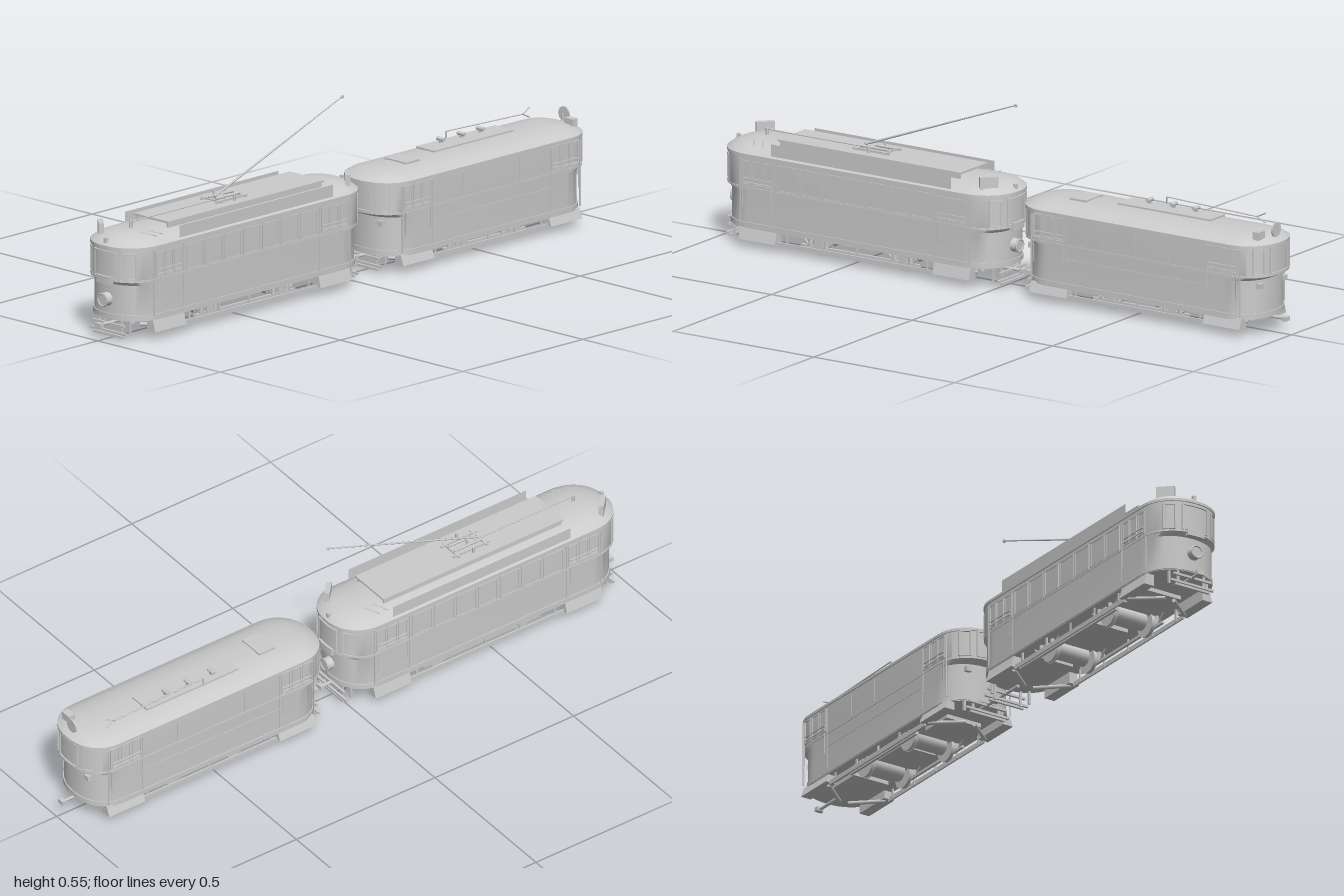
import * as THREE from 'three';
import { toCreasedNormals } from 'three/addons/utils/BufferGeometryUtils.js';

const mat = new THREE.MeshStandardMaterial({ color: 0xcccccc });
const thin = new THREE.MeshStandardMaterial({ color: 0xcccccc, side: THREE.DoubleSide });
const HW = 0.113, POW = 2.2;

function add(parent, name, geo, x = 0, y = 0, z = 0, material = mat) {
  const m = new THREE.Mesh(geo, material);
  m.name = name;
  m.position.set(x, y, z);
  parent.add(m);
  return m;
}
const box = (p, name, w, h, d, x, y, z) => add(p, name, new THREE.BoxGeometry(w, h, d), x, y, z);

function rod(p, name, a, b, r0, r1 = r0) {
  const A = new THREE.Vector3(...a), B = new THREE.Vector3(...b), dir = B.clone().sub(A);
  const m = add(p, name, new THREE.CylinderGeometry(r1, r0, dir.length(), 8));
  m.position.copy(A).add(B).multiplyScalar(0.5);
  m.quaternion.setFromUnitVectors(new THREE.Vector3(0, 1, 0), dir.normalize());
}
const across = (p, name, r, len, x, y, z, n = 24) =>
  add(p, name, new THREE.CylinderGeometry(r, r, len, n).rotateZ(Math.PI / 2), x, y, z);

// Plan outline: straight sides with rounded ends
function outline(hw, hl, d) {
  const pts = [];
  for (let half = 0; half < 2; half++) for (let i = 0; i <= 20; i++) {
    const t = Math.PI * (half + i / 20), c = Math.cos(t), s = Math.sin(t), e = 2 / POW;
    const sg = half ? -1 : 1;
    pts.push([hw * Math.sign(c) * Math.abs(c) ** e, sg * (hl - d + d * Math.abs(s) ** e)]);
  }
  return pts;
}
// Stack of outlines; each level is [y, offset, end setback]
function loft(levels, hl, depth) {
  const pos = [], idx = [];
  for (const [y, o, back = 0] of levels)
    for (const [x, z] of outline(HW + o, hl + o - back, Math.max(depth + o, 0.001))) pos.push(x, y, z);
  const n = pos.length / 3 / levels.length;
  for (let k = 0; k < levels.length - 1; k++) for (let i = 0; i < n; i++) {
    const j = (i + 1) % n, a = k * n + i, b = k * n + j;
    idx.push(a, a + n, b, b, a + n, b + n);
  }
  const g = new THREE.BufferGeometry();
  g.setAttribute('position', new THREE.Float32BufferAttribute(pos, 3));
  g.setIndex(idx);
  return toCreasedNormals(g, 0.6);
}
const band = (y0, y1, o) => [[y0, -0.003], [y0, o], [y1, o], [y1, -0.003]];

// Box bent around the rounded end of a car
function bent(p, name, x, y, w, h, t, hl, depth) {
  const g = new THREE.BoxGeometry(w, h, t, 12, 1, 1).translate(x, y, 0), v = g.attributes.position;
  for (let i = 0; i < v.count; i++) {
    const u = Math.min(Math.abs(v.getX(i) / HW), 1);
    v.setZ(i, v.getZ(i) + hl - depth + depth * (1 - u ** POW) ** (1 / POW));
  }
  g.computeVertexNormals();
  add(p, name, g);
}
function bentFrame(p, x, y, w, h, hl, d) {
  const f = 0.004;
  for (const s of [-1, 1]) {
    bent(p, 'endWindowFrame', x + s * w / 2, y, f, h, 0.009, hl, d);
    bent(p, 'endWindowFrame', x, y + s * h / 2, w, f, 0.009, hl, d);
  }
}
function sideFrame(p, s, y, z, w, h) {
  for (const k of [-1, 1]) {
    box(p, 'windowFrame', 0.005, h, 0.004, s * HW, y, z + k * w / 2);
    box(p, 'windowFrame', 0.005, 0.004, w, s * HW, y + k * h / 2, z);
  }
}

// Shared body, platforms and running gear
function car({ name, hl, depth, eave, top, base, axle, step, setback }) {
  const g = new THREE.Group();
  g.name = name;
  add(g, 'body', loft([[base, 0, setback], [0.168, 0, setback], [0.18, 0], [eave, 0]], hl, depth));
  add(g, 'skirtBand', loft(band(base, base + 0.016, 0.003), hl - setback, depth));
  add(g, 'beltRail', loft(band(0.179, 0.185, 0.002), hl, depth));
  const h = top - eave;
  add(g, 'roof', loft([[eave - 0.004, -0.002], [eave - 0.004, 0.004], [eave + 0.004, 0.004], [eave + 0.2 * h, 0],
    [eave + 0.5 * h, -0.014], [eave + 0.75 * h, -0.035], [eave + 0.92 * h, -0.065], [top, -0.095], [top, -HW]], hl, depth + 0.004));
  const plan = new THREE.Shape(outline(HW, hl - setback, depth).map(([x, z]) => new THREE.Vector2(x, -z)));
  add(g, 'floor', new THREE.ExtrudeGeometry(plan, { depth: 0.004, bevelEnabled: false }).rotateX(-Math.PI / 2), 0, base - 0.002, 0);

  for (const s of [-1, 1]) {
    // Wheelset and motor
    const z = s * axle;
    across(g, 'axle', 0.007, 0.15, 0, 0.04, z, 12);
    across(g, 'motor', 0.027, 0.1, 0, 0.045, z);
    for (const k of [-1, 1]) {
      across(g, 'wheel', 0.036, 0.012, k * 0.066, 0.038, z);
      across(g, 'wheelFlange', 0.038, 0.004, k * 0.061, 0.038, z);
      box(g, 'axleBox', 0.014, 0.022, 0.024, k * 0.082, 0.042, z);
      for (const q of [-1, 1]) {
        rod(g, 'spring', [k * 0.082, 0.032, z + q * 0.028], [k * 0.082, base + 0.001, z + q * 0.028], 0.007);
        rod(g, 'frameBrace', [k * 0.082, 0.035, z + q * 0.035], [k * 0.082, base, z + q * 0.065], 0.003);
      }
    }
    box(g, 'equipmentPlate', 0.12, 0.012, 0.11, 0, base - 0.008, s * (axle + 0.13));
    // Truck side frame and side guard
    box(g, 'truckFrame', 0.008, 0.008, 2 * axle + 0.12, s * 0.082, 0.03, 0);
    box(g, 'sideGuard', 0.005, 0.014, 2 * step - 0.12, s * 0.104, 0.025, 0);
    for (let i = -2; i <= 2; i++) box(g, 'guardHanger', 0.004, base - 0.02, 0.006, s * 0.101, (base + 0.02) / 2, i * step * 0.36);
    for (const e of [-1, 1]) {
      rod(g, 'lifeguardArm', [s * 0.1, 0.024, e * (step - 0.05)], [s * 0.015, 0.022, e * (step + 0.02)], 0.006);
      // Splayed boarding step
      const tread = new THREE.Shape([[0.086, 0.025], [0.12, 0.025], [0.109, base + 0.004], [0.086, base + 0.004]].map(q => new THREE.Vector2(...q)));
      const m = add(g, 'boardingStep', new THREE.ExtrudeGeometry(tread, { depth: 0.13, bevelEnabled: false }), 0, 0, e * step - s * 0.065);
      if (s < 0) m.rotation.y = Math.PI;
      // Platform doors with handrails
      for (const k of [-1, 0, 1]) sideFrame(g, s, 0.227, e * step + k * 0.039, 0.03, 0.07);
      for (const k of [-1, 1]) {
        box(g, 'doorPost', 0.004, eave - base - 0.02, 0.003, s * HW, (eave + base) / 2, e * step + k * 0.062);
        rod(g, 'handrail', [s * 0.1165, 0.12, e * step + k * 0.052], [s * 0.1165, 0.185, e * step + k * 0.052], 0.0014);
      }
      for (const y of [0.198, 0.211]) box(g, 'windowBar', 0.004, 0.003, 0.1, s * 0.115, y, e * step);
    }
  }
  box(g, 'equipmentPlate', 0.12, 0.012, 0.12, 0, base - 0.008, 0);

  // Matching ends: windows and coupler
  const ends = [0, Math.PI].map(r => {
    const e = new THREE.Group();
    e.name = r ? 'rearEnd' : 'frontEnd';
    e.rotation.y = r;
    g.add(e);
    bentFrame(e, 0, 0.227, 0.086, 0.08, hl, depth);
    for (const s of [-1, 1]) bentFrame(e, s * 0.076, 0.227, 0.026, 0.078, hl, depth);
    rod(e, 'coupler', [0, 0.046, hl - 0.08], [0, 0.046, hl + 0.02], 0.005);
    box(e, 'couplerHead', 0.022, 0.013, 0.014, 0, 0.046, hl + 0.02);
    return e;
  });
  return { g, ends };
}

// Low bars hung ahead of the wheels
function lifeguard(e, hl, base) {
  for (const [y, w] of [[0.012, 0.12], [0.022, 0.15], [0.045, 0.13]]) box(e, 'lifeguardBar', w, 0.007, 0.007, 0, y, hl - 0.018);
  for (const s of [-1, 1]) {
    box(e, 'lifeguardHanger', 0.007, base - 0.012, 0.006, s * 0.045, (base + 0.012) / 2, hl - 0.025);
    box(e, 'lifeguardHanger', 0.007, base - 0.02, 0.006, s * 0.066, (base + 0.02) / 2, hl - 0.04);
  }
}

function lamp(p, r, y, z) {
  add(p, 'headlight', new THREE.CylinderGeometry(r * 0.85, r, 0.026, 28).rotateX(Math.PI / 2), 0, y, z);
  add(p, 'headlightRim', new THREE.TorusGeometry(r * 0.88, r * 0.14, 8, 28), 0, y, z + 0.013);
}

function motorCar() {
  const hl = 0.5, base = 0.062;
  const { g, ends } = car({ name: 'motorCar', hl, depth: 0.11, eave: 0.28, top: 0.316, base, axle: 0.15, step: 0.345, setback: 0.013 });
  g.position.z = 0.473;
  for (const e of ends) {
    lifeguard(e, hl, base);
    lamp(e, 0.021, 0.12, hl - 0.006);
    bent(e, 'destinationBox', 0, 0.181, 0.058, 0.024, 0.014, hl, 0.11);
    box(e, 'cornerSign', 0.055, 0.036, 0.016, -0.068, 0.315, hl - 0.055).rotation.y = -0.75;
    box(e, 'roofLamp', 0.01, 0.022, 0.01, 0, 0.293, hl - 0.008);
    for (const k of [0, 1]) rod(e, 'roofGrip', [0.05, 0.313, hl - 0.1 - k * 0.03], [0.09, 0.305, hl - 0.125 - k * 0.03], 0.002);
  }
  for (const s of [-1, 1]) {
    for (let i = 0; i < 7; i++) sideFrame(g, s, 0.226, (i - 3) * 0.079, 0.068, 0.076);
    // Boards along the roof edges
    add(g, 'roofBoard', new THREE.PlaneGeometry(0.64, 0.042), s * 0.111, 0.304, -0.02, thin).rotation.y = -s * Math.PI / 2;
    box(g, 'walkwayRunner', 0.006, 0.02, 0.64, s * 0.062, 0.316, -0.02);
  }
  box(g, 'roofWalkway', 0.14, 0.006, 0.65, 0, 0.327, -0.02);
  // Trolley base and pole
  for (const s of [-1, 1]) {
    box(g, 'trolleyRail', 0.005, 0.008, 0.13, s * 0.03, 0.333, 0);
    rod(g, 'trolleySpring', [s * 0.014, 0.339, -0.05], [s * 0.014, 0.339, 0.05], 0.004);
    box(g, 'trolleyCrossbar', 0.085, 0.005, 0.006, 0, 0.334, s * 0.05);
    rod(g, 'trolleyInsulator', [s * 0.042, 0.33, 0], [s * 0.042, 0.347, 0], 0.004);
  }
  add(g, 'trolleyPivot', new THREE.CylinderGeometry(0.012, 0.016, 0.014, 16), 0, 0.336, 0.02);
  rod(g, 'trolleyPole', [0, 0.342, 0.04], [0, 0.54, -0.49], 0.0035, 0.002);
  across(g, 'trolleyWheel', 0.005, 0.005, 0, 0.54, -0.493, 12);
  rod(g, 'roofCable', [0, 0.333, 0.39], [0, 0.333, 0.02], 0.002);
  rod(g, 'poleHook', [0, 0.312, 0.39], [0, 0.336, 0.39], 0.005);
  return g;
}

function trailer() {
  const hl = 0.435, base = 0.052;
  const { g, ends } = car({ name: 'trailer', hl, depth: 0.1, eave: 0.272, top: 0.302, base, axle: 0.11, step: 0.308, setback: 0.02 });
  g.position.z = -0.525;
  lifeguard(ends[0], hl, base);
  for (const e of ends) for (const s of [-1, 1]) box(e, 'endLamp', 0.018, 0.016, 0.016, s * 0.06, 0.15, hl - 0.03);
  // Plain side panels with seams
  for (const s of [-1, 1]) {
    for (const z of [-0.12, 0, 0.12]) box(g, 'panelSeam', 0.003, 0.07, 0.003, s * HW, 0.225, z);
    box(g, 'panelRail', 0.003, 0.004, 0.5, s * HW, 0.14, 0);
  }
  // Roof plates, insulators and stowed pole
  box(g, 'roofPlate', 0.075, 0.006, 0.33, -0.025, 0.304, -0.03);
  box(g, 'roofHatch', 0.085, 0.008, 0.06, 0, 0.302, 0.255);
  for (const z of [-0.11, -0.03, 0.055]) {
    across(g, 'roofInsulator', 0.006, 0.028, -0.038, 0.318, z, 12);
    box(g, 'insulatorFoot', 0.01, 0.014, 0.01, -0.038, 0.31, z);
  }
  rod(g, 'poleStand', [-0.062, 0.3, 0.01], [-0.062, 0.328, 0.01], 0.003);
  rod(g, 'stowedPole', [-0.062, 0.328, 0.01], [-0.062, 0.318, -0.31], 0.002);
  for (const s of [-1, 1]) rod(g, 'poleFork', [-0.062, 0.318, -0.31], [-0.062, 0.318 + s * 0.015, -0.34], 0.002);
  // Tail disc and corner sign
  rod(g, 'discPost', [0, 0.28, -hl + 0.02], [0, 0.31, -hl + 0.02], 0.004);
  add(g, 'tailDisc', new THREE.CylinderGeometry(0.022, 0.022, 0.005, 24).rotateX(Math.PI / 2), 0, 0.31, -hl + 0.015);
  box(g, 'cornerSign', 0.034, 0.024, 0.022, 0.052, 0.3, -hl + 0.04);
  return g;
}

export function createModel() {
  const model = new THREE.Group();
  model.name = 'tramWithTrailer';
  model.add(motorCar(), trailer());
  return model;
}
